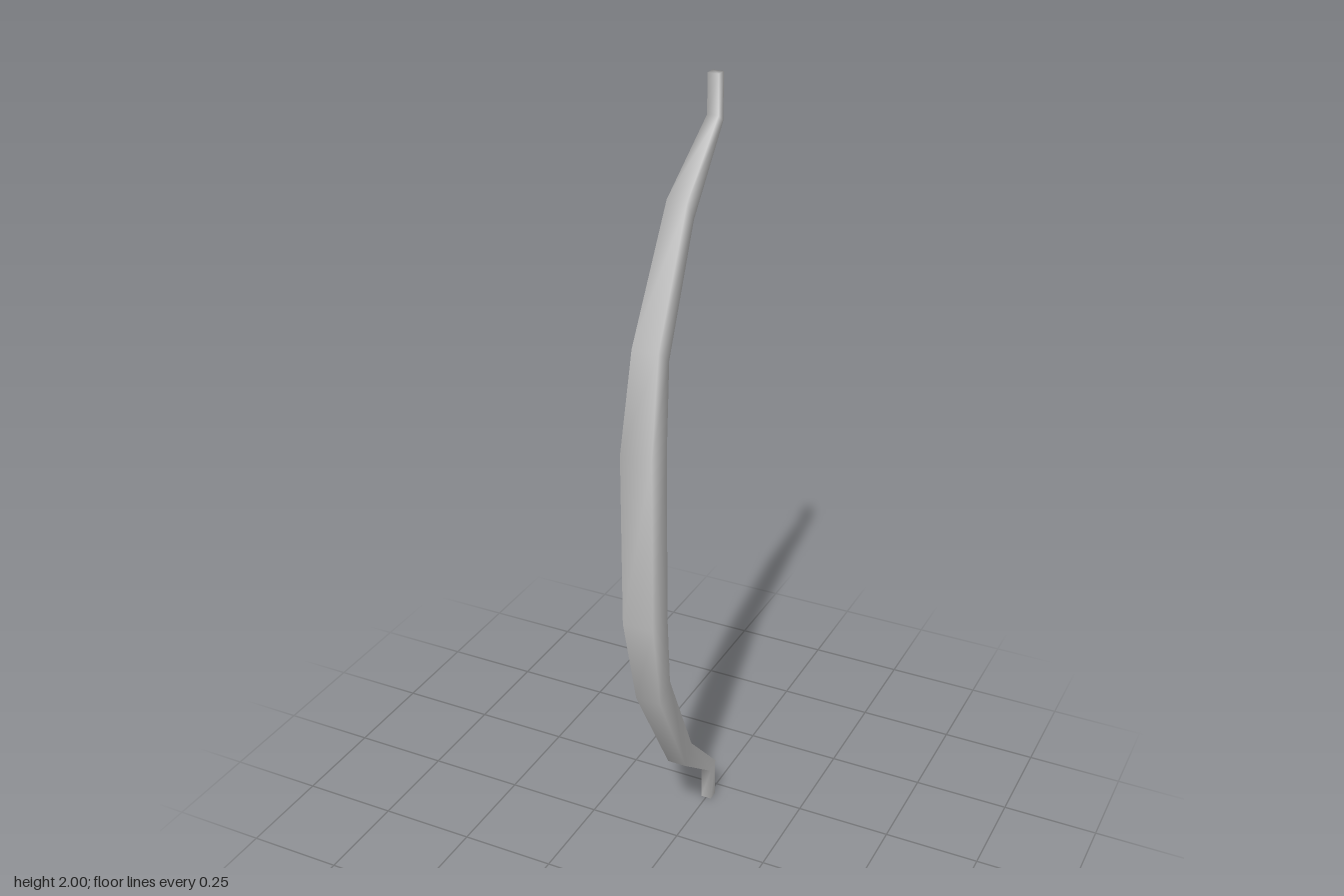
import * as THREE from 'three';

// Upper half of the bow, middle to tip: [half width, front y, front z, back y, back z]
// (heights measured from the middle of the bow)
const stations = [
  [0.04, 0.224, 0.21, 0.224, 0.133],
  [0.033, 0.466, 0.16, 0.43, 0.106],
  [0.025, 0.762, 0.0, 0.712, -0.035],
  [0.014, 0.906, -0.183, 0.888, -0.21],
  [0.014, 1.0, -0.183, 1.0, -0.21],
];

// Square-section limb with smooth normals, lofted through the rings from bottom to top
function loft(rings) {
  const position = rings.flatMap(([w, fy, fz, by, bz]) => [
    w, fy, fz, w, by, bz, -w, by, bz, -w, fy, fz,
  ]);
  const index = [0, 2, 1, 0, 3, 2]; // bottom tip
  for (let i = 0; i < rings.length - 1; i++) {
    for (let j = 0; j < 4; j++) {
      const a = i * 4 + j, b = i * 4 + (j + 1) % 4;
      index.push(a, b, b + 4, a, b + 4, a + 4);
    }
  }
  const t = (rings.length - 1) * 4;
  index.push(t, t + 1, t + 2, t, t + 2, t + 3); // top tip
  const geometry = new THREE.BufferGeometry();
  geometry.setAttribute('position', new THREE.Float32BufferAttribute(position, 3));
  geometry.setIndex(index);
  geometry.computeVertexNormals();
  return geometry;
}

export function createModel() {
  const group = new THREE.Group();
  group.name = 'bow';

  // Mirror the upper limb downwards and join both at the grip
  const lower = stations.map(([w, fy, fz, by, bz]) => [w, -fy, fz, -by, bz]).reverse();
  const stave = new THREE.Mesh(
    loft([...lower, ...stations]),
    new THREE.MeshStandardMaterial({ color: 0xcccccc }),
  );
  stave.name = 'bowStave';
  stave.position.y = 1;
  group.add(stave);
  return group;
}
